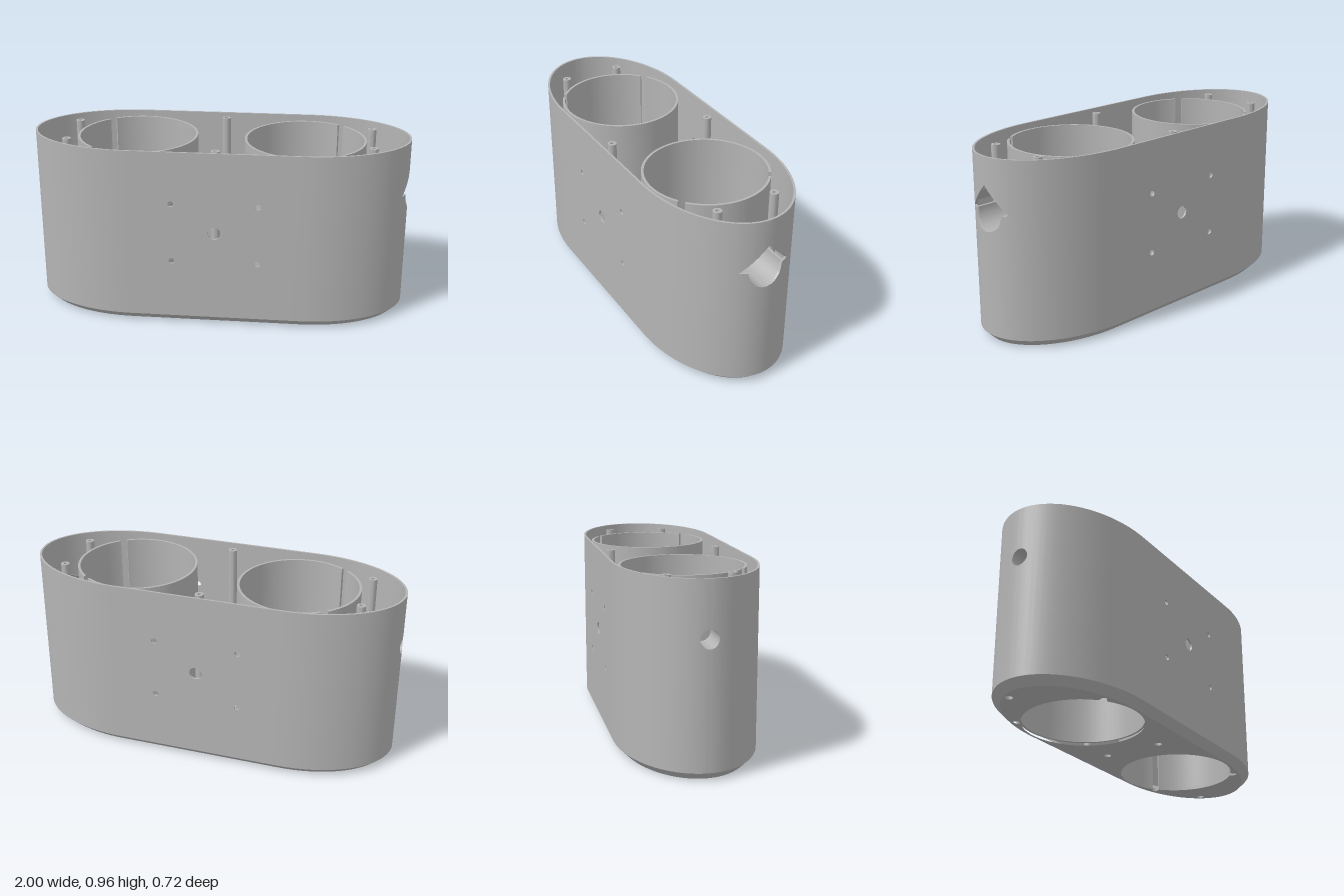
import * as THREE from 'three';
import { toCreasedNormals } from 'three/addons/utils/BufferGeometryUtils.js';

// Main sizes: straight half length, elliptical end radii, height, wall
const S = 0.45, A = 0.55, B = 0.36, H = 0.96, WALL = 0.011;
const PIPE_Y = 0.68, CUT_R = 0.097, PORT_R = 0.046;
const FLOOR = 0.02, TUBE_X = 0.447, TUBE_R = 0.308, TUBE_OUT = 0.321;
const SLOT_D = 0.323, SLOT_R = 0.02, SLOT_ANGLE = 0.932;

const endX = z => S + A * Math.sqrt(Math.max(0, 1 - (z / B) ** 2));
const range = n => Array.from({ length: n + 1 }, (_, i) => i / n);

// Wall openings: centre along the wall, half width, lower and upper edge
const roundHole = (c, y, r) => {
  const h = u => Math.sqrt(Math.max(0, r * r - (u - c) ** 2));
  return { c, w: r, lo: u => y - h(u), hi: u => y + h(u) };
};
const teardrop = {
  c: 0, w: CUT_R * Math.SQRT2,
  lo: u => PIPE_Y - Math.sqrt(Math.max(0, CUT_R ** 2 - u * u)),
  hi: u => PIPE_Y + Math.max(0, CUT_R * Math.SQRT2 - Math.abs(u)),
};
const faceHoles = [
  roundHole(-0.225, 0.36, 0.015), roundHole(-0.225, 0.68, 0.015),
  roundHole(0, 0.525, 0.034),
  roundHole(0.225, 0.36, 0.015), roundHole(0.225, 0.68, 0.015),
];

// Column positions along one side, with extra columns across each opening
function columns(base, holes) {
  const all = [...base];
  for (const h of holes) for (const t of range(16)) all.push(h.c - h.w * Math.cos(t * Math.PI));
  if (holes.includes(teardrop)) all.push(-CUT_R, CUT_R);
  return all.sort((a, b) => a - b).filter((v, i, s) => i === 0 || v - s[i - 1] > 1e-5);
}

// The four sides of the outline, in order round the body
function outlineSides() {
  const arc = range(40).map(t => -B * Math.cos(t * Math.PI));
  const flat = range(8).map(t => -S + 2 * S * t);
  const end = (sgn, holes) => columns(arc, holes).map(z => {
    const c = (endX(z) - S) / A, s = z / B, l = Math.hypot(c / A, s / B);
    return { u: z, x: sgn * endX(z), z, nx: sgn * c / A / l, nz: s / B / l };
  });
  const face = sgn => columns(flat, faceHoles).map(x => ({ u: x, x, z: sgn * B, nx: 0, nz: sgn }));
  const port = [roundHole(0, PIPE_Y, PORT_R)];
  return [
    { pts: end(1, [teardrop]).reverse(), holes: [teardrop] },
    { pts: face(-1).reverse(), holes: faceHoles },
    { pts: end(-1, port), holes: port },
    { pts: face(1), holes: faceHoles },
  ];
}

// Thin shell with chamfered foot and cut openings
function shellGeometry(sides) {
  const pos = [];
  const at = (p, inset, y) => [p.x - p.nx * inset, y, p.z - p.nz * inset];
  const quad = (a, b, c, d) => pos.push(...a, ...b, ...c, ...a, ...c, ...d);
  const band = (a, b, i0, y0, i1, y1) =>
    quad(at(a, i0, y0), at(b, i0, y0), at(b, i1, y1), at(a, i1, y1));
  for (const { pts, holes } of sides) {
    for (let i = 0; i + 1 < pts.length; i++) {
      const a = pts[i], b = pts[i + 1], mid = (a.u + b.u) / 2;
      const cut = holes.filter(h => Math.abs(mid - h.c) < h.w);
      const edges = (p, y0) => [y0, ...cut.flatMap(h => [h.lo(p.u), h.hi(p.u)]), H];
      const oa = edges(a, 0.04), ob = edges(b, 0.04);
      const ia = edges(a, 0.056), ib = edges(b, 0.056);
      band(a, b, 0.04, 0, 0, 0.04);
      band(a, b, 0, H, WALL, H);
      band(a, b, WALL, 0.056, 0.046, FLOOR);
      for (let k = 0; k < oa.length; k += 2) {
        quad(at(a, 0, oa[k]), at(b, 0, ob[k]), at(b, 0, ob[k + 1]), at(a, 0, oa[k + 1]));
        quad(at(b, WALL, ib[k]), at(a, WALL, ia[k]), at(a, WALL, ia[k + 1]), at(b, WALL, ib[k + 1]));
      }
      // Sill and lintel of each opening
      for (let k = 1; k < oa.length - 1; k += 2) {
        quad(at(a, 0, oa[k]), at(b, 0, ob[k]), at(b, WALL, ob[k]), at(a, WALL, oa[k]));
        quad(at(a, WALL, oa[k + 1]), at(b, WALL, ob[k + 1]), at(b, 0, ob[k + 1]), at(a, 0, oa[k + 1]));
      }
    }
  }
  const g = new THREE.BufferGeometry();
  g.setAttribute('position', new THREE.Float32BufferAttribute(pos, 3));
  return toCreasedNormals(g, 0.5);
}

// Upright extrusion of a shape drawn in x and z
function slab(shape, y0, y1) {
  const g = new THREE.ExtrudeGeometry(shape, { depth: y1 - y0, bevelEnabled: false, curveSegments: 64 });
  g.rotateX(Math.PI / 2).translate(0, y1, 0);
  return toCreasedNormals(g, 0.5);
}

const circle = (x, z, r) => new THREE.Path().absarc(x, z, r, 0, Math.PI * 2, false);

function ringSector(r0, r1, a0, a1) {
  const s = new THREE.Shape();
  s.absarc(0, 0, r1, a0, a1, false);
  s.absarc(0, 0, r0, a1, a0, true);
  return s;
}

// Round floor opening with two small notches
function notchedCircle(sgn) {
  const pts = range(240).slice(0, -1).map(t => {
    const a = (t * 2 - 1) * Math.PI, d = Math.abs(a) - SLOT_ANGLE;
    const q = SLOT_R ** 2 - (SLOT_D * Math.sin(d)) ** 2;
    const r = q > 0 && Math.abs(d) < 1 ? Math.max(TUBE_R, SLOT_D * Math.cos(d) + Math.sqrt(q)) : TUBE_R;
    return new THREE.Vector2(sgn * (TUBE_X + r * Math.cos(a)), r * Math.sin(a));
  });
  return new THREE.Path(pts);
}

// Sideways pipe whose outer end follows the curved end wall
function pipeGeometry(shape, sgn, inner) {
  const g = new THREE.ExtrudeGeometry(shape, { depth: 1, bevelEnabled: false, curveSegments: 32 });
  const p = g.attributes.position;
  for (let i = 0; i < p.count; i++) {
    const u = p.getX(i), w = p.getZ(i);
    p.setXYZ(i, sgn * (w > 0.5 ? endX(u) - 0.007 : inner), PIPE_Y + p.getY(i), -sgn * u);
  }
  return toCreasedNormals(g, 0.5);
}

export function createModel() {
  const model = new THREE.Group();
  const grey = new THREE.MeshStandardMaterial({ color: 0xb4b4b4 });
  grey.name = 'plain grey';
  const add = (name, geo) => {
    const m = new THREE.Mesh(geo, grey);
    m.name = name;
    model.add(m);
    return m;
  };

  const sides = outlineSides();
  add('outerShell', shellGeometry(sides));

  // Floor with tube openings and small through holes
  const floor = new THREE.Shape(sides.flatMap(s => s.pts.slice(0, -1))
    .map(p => new THREE.Vector2(p.x - p.nx * 0.04, p.z - p.nz * 0.04)));
  floor.holes.push(notchedCircle(1), notchedCircle(-1), circle(0, 0.16, 0.02), circle(0, -0.16, 0.02),
    circle(0.9, -0.1, 0.02), circle(-0.9, -0.1, 0.02));
  add('floor', slab(floor, 0, FLOOR));

  // Two large slotted tubes
  const gap = SLOT_R * 0.95 / SLOT_D, a = SLOT_ANGLE;
  for (const sgn of [1, -1]) {
    for (const [from, to] of [[-a + gap, a - gap], [a + gap, Math.PI * 2 - a - gap]]) {
      const tube = add('slottedTube', slab(ringSector(TUBE_R, TUBE_OUT, from, to), FLOOR - 0.001, 0.935));
      tube.position.x = sgn * TUBE_X;
      if (sgn < 0) tube.rotation.y = Math.PI;
    }
  }

  // Screw posts with blind holes
  const profile = [[0.023, FLOOR], [0.023, 0.95], [0.01, 0.95], [0.01, 0.85], [0, 0.85]]
    .map(([r, y]) => new THREE.Vector2(r, y));
  const post = toCreasedNormals(new THREE.LatheGeometry(profile, 20), 0.5);
  for (const [x, z] of [[0, 0.287], [0, -0.287], [0.8, 0.16], [0.8, -0.16], [-0.8, 0.16], [-0.8, -0.16]]) {
    add('screwPost', post).position.set(x, 0, z);
  }

  // Wide pipe behind the teardrop opening: lower half and two upper strips
  const out = 0.11, half = Math.acos(CUT_R / out);
  add('widePipe', pipeGeometry(ringSector(CUT_R, out, Math.PI, Math.PI * 2), 1, 0.78));
  for (const mid of [Math.PI / 4, Math.PI * 3 / 4]) {
    const strip = new THREE.Shape();
    strip.absarc(0, 0, out, mid - half, mid + half, false);
    add('widePipeStrip', pipeGeometry(strip, 1, 0.78));
  }

  // Narrow pipe at the other end
  const ring = new THREE.Shape();
  ring.absarc(0, 0, 0.077, 0, Math.PI * 2, false);
  ring.holes.push(circle(0, 0, PORT_R));
  add('narrowPipe', pipeGeometry(ring, -1, 0.83));

  return model;
}
